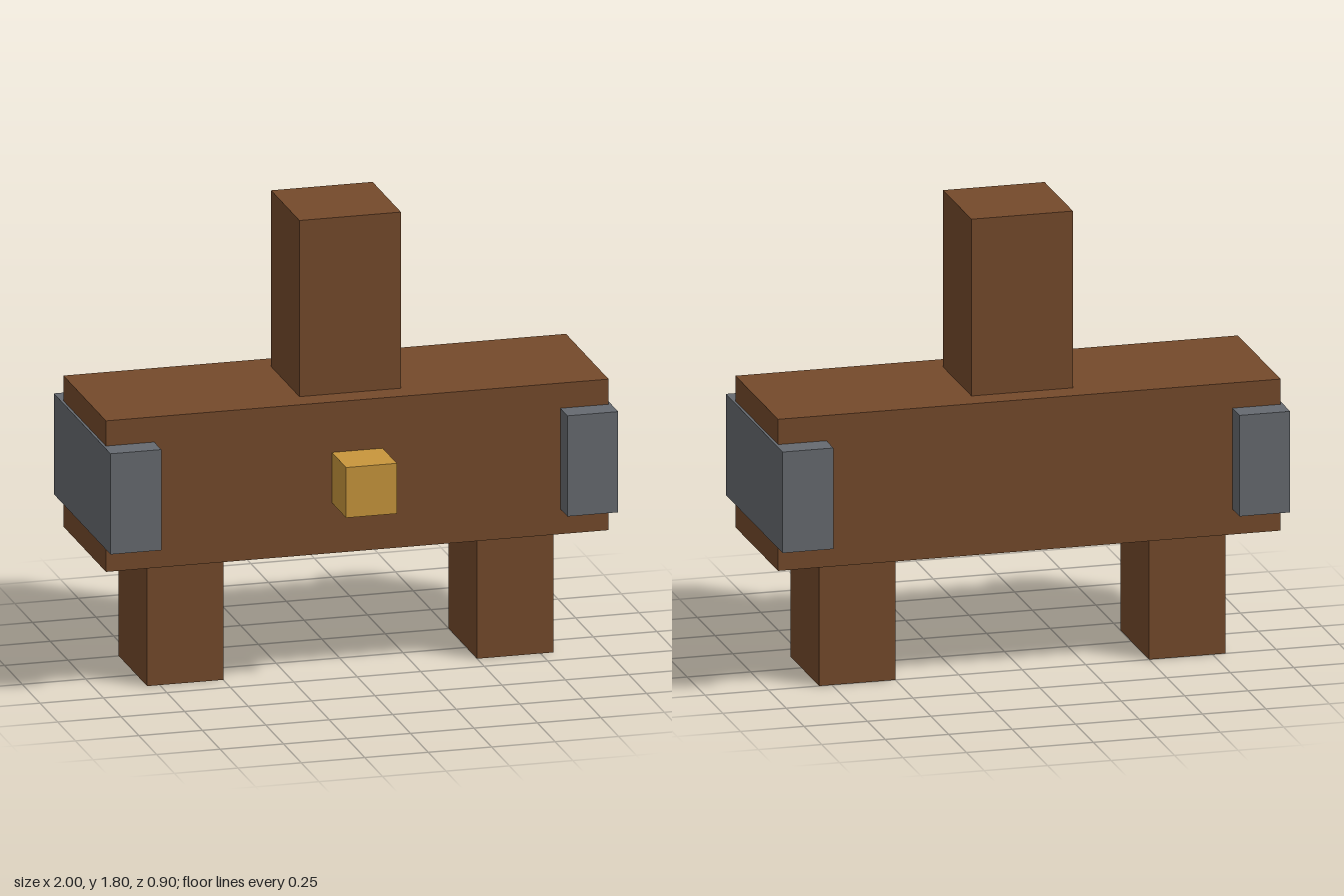
import * as THREE from 'three';

export function createModel() {
  const model = new THREE.Group();
  model.name = 'blockFigure';

  const material = (name, color) => {
    const m = new THREE.MeshStandardMaterial({ color });
    m.name = name;
    return m;
  };
  const brown = material('brown', 0x754a2b);
  const grey = material('steelGrey', 0x666a70);
  const gold = material('gold', 0xc8963c);

  // Box spanning the given minimum and maximum corners
  const block = (name, mat, min, max) => {
    const size = max.map((v, i) => v - min[i]);
    const mesh = new THREE.Mesh(new THREE.BoxGeometry(...size), mat);
    mesh.position.set(...max.map((v, i) => (v + min[i]) / 2));
    mesh.name = name;
    model.add(mesh);
    return mesh;
  };

  // Wide body with an upright post on top
  block('body', brown, [-0.99, 0.5, -0.35], [0.99, 1.1, 0.25]);
  block('post', brown, [-0.2, 1.1, -0.25], [0.2, 1.8, 0.15]);

  // Square knob on the front
  block('frontKnob', gold, [-0.1, 0.7, 0.25], [0.1, 0.9, 0.45]);

  // Mirrored legs and end clamps
  for (const [side, s] of [['left', 1], ['right', -1]]) {
    const leg = block(side + 'Leg', brown, [0.5, 0, -0.25], [0.8, 0.5, 0.15]);
    const clamp = block(side + 'Clamp', grey, [0.8, 0.6, -0.45], [1, 1, 0.35]);
    leg.position.x *= s;
    clamp.position.x *= s;
  }

  return model;
}
